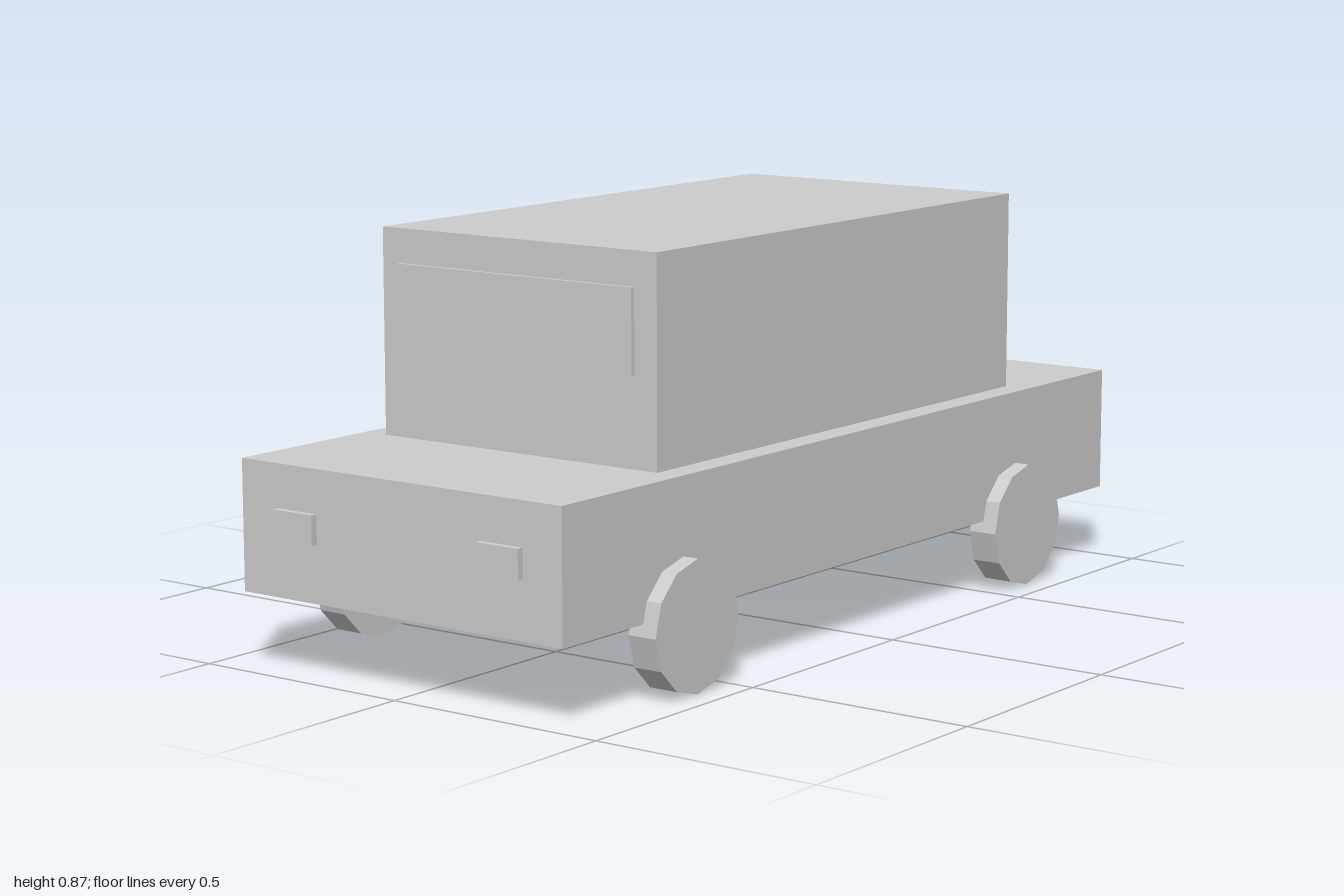
import * as THREE from 'three';

export function createModel() {
  const car = new THREE.Group();
  car.name = 'car';

  const paint = new THREE.MeshStandardMaterial({ color: 0xcccccc, flatShading: true });
  paint.name = 'light grey';

  const add = (name, geometry, x, y, z) => {
    const mesh = new THREE.Mesh(geometry, paint);
    mesh.name = name;
    mesh.position.set(x, y, z);
    car.add(mesh);
  };

  // Lower body and cabin
  add('body', new THREE.BoxGeometry(0.82, 0.273, 1.985), 0, 0.2965, -0.0075);
  add('cabin', new THREE.BoxGeometry(0.706, 0.434, 1.29), 0, 0.65, -0.0275);

  // Windshield plate just in front of the cabin
  add('windshield', new THREE.BoxGeometry(0.606, 0.176, 0.0095), 0, 0.708, 0.629);

  // Headlights and twelve-sided wheels, mirrored left and right
  const headlight = new THREE.BoxGeometry(0.104, 0.062, 0.015);
  const wheel = new THREE.CylinderGeometry(0.136, 0.136, 0.066, 12).rotateZ(Math.PI / 2);
  for (const [label, side] of [['left', 1], ['right', -1]]) {
    add(label + 'Headlight', headlight, side * 0.263, 0.311, 0.9925);
    add(label + 'FrontWheel', wheel, side * 0.412, 0.136, 0.608);
    add(label + 'RearWheel', wheel, side * 0.412, 0.136, -0.623);
  }

  return car;
}
